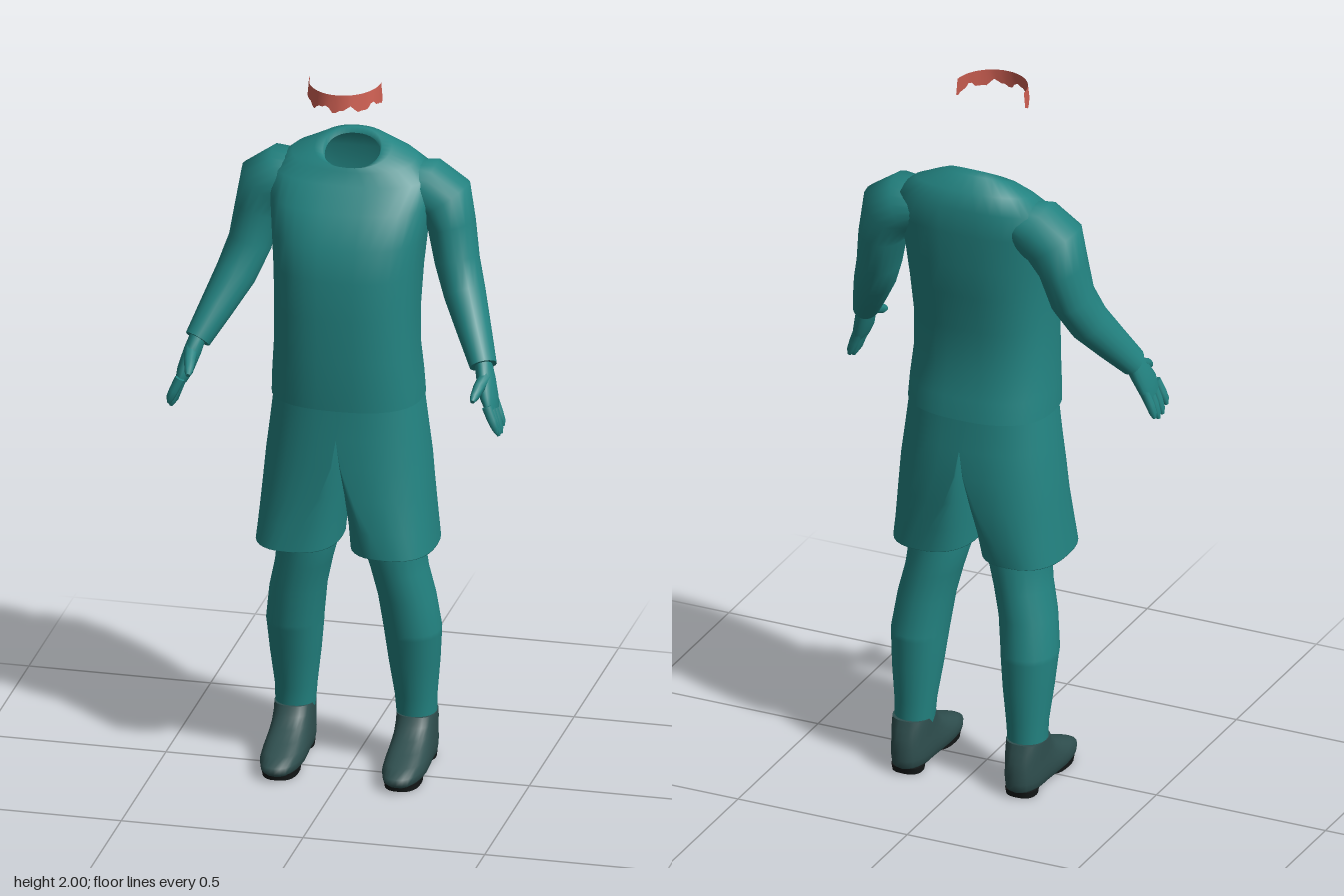
import * as THREE from 'three';

const V = (x, y, z) => new THREE.Vector3(x, y, z);
const mat = (name, color) => {
  const m = new THREE.MeshStandardMaterial({ color, side: THREE.DoubleSide });
  m.name = name;
  return m;
};
const spow = (v, p) => Math.sign(v) * Math.abs(v) ** p;

// Skin a list of closed rings; optional caps at both ends.
function loft(name, material, rings, capStart = false, capEnd = false) {
  const n = rings[0].length, pos = [], idx = [];
  rings.forEach(r => r.forEach(p => pos.push(p.x, p.y, p.z)));
  for (let i = 0; i < rings.length - 1; i++) {
    for (let j = 0; j < n; j++) {
      const k = (j + 1) % n, a = i * n + j, b = i * n + k;
      idx.push(a, a + n, b, b, a + n, b + n);
    }
  }
  const cap = (ring, flip) => {
    const c = rings[ring].reduce((s, p) => s.add(p), V(0, 0, 0)).divideScalar(n);
    const ci = pos.length / 3, start = pos.length / 3 + 1;
    pos.push(c.x, c.y, c.z);
    rings[ring].forEach(p => pos.push(p.x, p.y, p.z));
    for (let j = 0; j < n; j++) {
      const a = start + j, b = start + (j + 1) % n;
      flip ? idx.push(ci, a, b) : idx.push(ci, b, a);
    }
  };
  if (capStart) cap(0, true);
  if (capEnd) cap(rings.length - 1, false);
  const g = new THREE.BufferGeometry();
  g.setAttribute('position', new THREE.Float32BufferAttribute(pos, 3));
  g.setIndex(idx);
  g.computeVertexNormals();
  const mesh = new THREE.Mesh(g, material);
  mesh.name = name;
  return mesh;
}

// Ring lying across y: half width, front and back z, front and back height.
function ring(cx, hw, zf, zb, yf, yb = yf, power = 1, n = 28) {
  return Array.from({ length: n }, (_, j) => {
    const a = j / n * Math.PI * 2, s = spow(Math.sin(a), power);
    return V(cx + hw * spow(Math.cos(a), power), yb + (yf - yb) * (s + 1) / 2,
      (zf + zb) / 2 + (zf - zb) / 2 * s);
  });
}

// Elliptical rings along a path of stations [x, y, z, radiusSide, radiusDepth].
function pathRings(st, n = 16) {
  const p = st.map(s => V(s[0], s[1], s[2]));
  return st.map((s, i) => {
    const t = p[Math.min(i + 1, p.length - 1)].clone().sub(p[Math.max(i - 1, 0)]).normalize();
    const u = V(-t.y, t.x, 0).normalize(), v = u.clone().cross(t);
    return Array.from({ length: n }, (_, j) => {
      const a = j / n * Math.PI * 2;
      return p[i].clone().addScaledVector(u, s[3] * Math.cos(a)).addScaledVector(v, s[4] * Math.sin(a));
    });
  });
}

// Mirror rings to the other side while keeping faces outward.
const side = (rings, s) => s > 0 ? rings
  : rings.map(r => r.map(p => V(-p.x, p.y, p.z)).reverse());

export function createModel() {
  const model = new THREE.Group();
  model.name = 'sportsOutfit';
  const teal = mat('teal cloth', 0x238482);
  const slate = mat('dark slate shoe', 0x2f4f4f);
  const black = mat('black sole', 0x141818);
  const red = mat('soft red', 0xcd5f52);

  // Shirt body, from hem to collar
  const shirt = [
    [.205, .148, -.175, 1.09, 1.09], [.202, .153, -.168, 1.15, 1.15],
    [.196, .155, -.152, 1.23, 1.23], [.195, .156, -.156, 1.35, 1.35],
    [.2, .15, -.175, 1.46, 1.46], [.208, .135, -.185, 1.55, 1.55],
    [.22, .09, -.19, 1.635, 1.65], [.218, .035, -.19, 1.695, 1.725],
    [.17, .016, -.168, 1.728, 1.77], [.105, .012, -.135, 1.74, 1.806],
    [.08, .01, -.11, 1.737, 1.812], [.074, .002, -.104, 1.725, 1.795],
  ];
  model.add(loft('shirtBody', teal, shirt.map(([w, f, b, yf, yb], i) =>
    ring(0, w, f, b, yf, yb, i < 8 ? .8 : .92, 36))));

  for (const s of [1, -1]) {
    const label = s > 0 ? 'left' : 'right';

    // Sleeve
    model.add(loft(label + 'Sleeve', teal, side(pathRings([
      [.13, 1.68, -.09, .055, .07], [.195, 1.665, -.09, .083, .088],
      [.242, 1.635, -.09, .084, .09], [.266, 1.565, -.085, .064, .082],
      [.285, 1.47, -.068, .06, .07], [.315, 1.39, -.032, .056, .062],
      [.355, 1.31, .025, .046, .052], [.393, 1.235, .08, .036, .042],
    ], 20), s), false, true));

    // Hand with four fingers and a thumb
    const hand = new THREE.Group();
    hand.name = label + 'Hand';
    hand.add(loft('palm', teal, side(pathRings([
      [.39, 1.25, .075, .022, .028], [.404, 1.205, .095, .024, .04],
      [.418, 1.16, .115, .022, .046], [.428, 1.13, .122, .015, .042],
    ]), s), true, true));
    for (let f = 0; f < 4; f++) {
      const z = .086 + f * .025, drop = [.012, 0, .003, .02][f];
      hand.add(loft('finger', teal, side(pathRings([
        [.422, 1.15, z, .014, .014], [.438, 1.105 + drop / 2, z + .006, .013, .013],
        [.447, 1.075 + drop, z + .007, .011, .011], [.451, 1.06 + drop, z + .007, .005, .005],
      ], 8), s), true, true));
    }
    hand.add(loft('thumb', teal, side(pathRings([
      [.405, 1.215, .105, .018, .02], [.398, 1.198, .15, .016, .017],
      [.393, 1.182, .18, .012, .013], [.391, 1.175, .196, .006, .006],
    ], 8), s), true, true));
    model.add(hand);

    // Half of the shorts: half ellipse at the waist turning into a full leg opening
    const shorts = [
      [.67, .245, .13, -.145, 1, .9], [.655, .245, .14, -.157, 1, 1],
      [.67, .245, .141, -.158, 1, 1], [.74, .238, .14, -.166, .75, 1],
      [.83, .23, .138, -.175, .38, 1], [.92, .222, .137, -.18, .12, 1],
      [1, .212, .134, -.176, 0, 1], [1.1, .2, .13, -.168, 0, 1],
    ].map(([y, w, f, b, t, k]) => Array.from({ length: 32 }, (_, j) => {
      const a = j / 32 * Math.PI * 2, c = spow(Math.cos(a), .8);
      const half = Math.max(0, w * c), full = w / 2 + .008 + (w / 2 - .008) * c * k;
      return V(half + (full - half) * t, Math.max(y, .668),
        (f + b) / 2 + (f - b) / 2 * spow(Math.sin(a), .8));
    }));
    model.add(loft(label + 'ShortsHalf', teal, side(shorts, s)));

    // Leg: [y, inner x, outer x, front z, back z]
    const leg = [
      [.12, .115, .22, -.042, -.155], [.2, .108, .222, -.038, -.155],
      [.3, .095, .232, -.012, -.16], [.385, .086, .238, .008, -.16],
      [.4, .085, .239, .014, -.16], [.5, .073, .226, .03, -.147],
      [.58, .055, .208, .042, -.14], [.65, .035, .2, .052, -.135],
      [.8, .025, .2, .07, -.13],
    ].map(([y, xi, xo, f, b]) => ring((xi + xo) / 2, (xo - xi) / 2, f, b, y, y, .95, 20));
    model.add(loft(label + 'Leg', teal, side(leg, s), false, true));

    // Shoe, narrowed at the arch: [y, half width, front z, back z]
    const arch = r => r.map(p => {
      const d = (p.z + .06) / .06;
      p.x = .168 + (p.x - .168) * (1 - .16 * Math.exp(-d * d) * Math.max(0, 1 - p.y / .1));
      return p;
    });
    const shoe = [
      [.014, .05, .135, -.176], [.024, .058, .15, -.186], [.042, .061, .148, -.187],
      [.06, .06, .11, -.186], [.08, .057, .062, -.184], [.1, .054, .015, -.18],
      [.125, .054, -.02, -.172], [.15, .054, -.036, -.162],
    ].map(([y, w, f, b]) => arch(ring(.168, w, f, b, y, y, .8)));
    model.add(loft(label + 'Shoe', slate, side(shoe, s), true, true));

    // Sole and heel pads
    for (const [name, w, f, b] of [['Sole', .05, .13, -.02], ['Heel', .044, -.095, -.178]]) {
      const pad = [ring(.168, w * .95, f - .004, b + .004, 0, 0, .8), ring(.168, w, f, b, .018, .018, .8)];
      model.add(loft(label + name, black, side(pad, s), true, true));
    }
  }

  // Floating curved band with a ragged lower edge
  const band = new THREE.PlaneGeometry(1, 1, 32, 2), bp = band.attributes.position;
  for (let i = 0; i < bp.count; i++) {
    const u = bp.getX(i) * 2, v = bp.getY(i) + .5, a = u * Math.PI / 2;
    const low = 1.955 + .008 * Math.cos(u * 14) * -1 + .004 * Math.sin(u * 31);
    const top = 2 - .004 * (1 - u * u);
    const bulge = 1 - .04 * v;
    bp.setXYZ(i, .102 * Math.sin(a) * bulge, low + (top - low) * v, .022 + .112 * Math.cos(a) * bulge);
  }
  band.computeVertexNormals();
  const bandMesh = new THREE.Mesh(band, red);
  bandMesh.name = 'headBand';
  model.add(bandMesh);

  return model;
}
